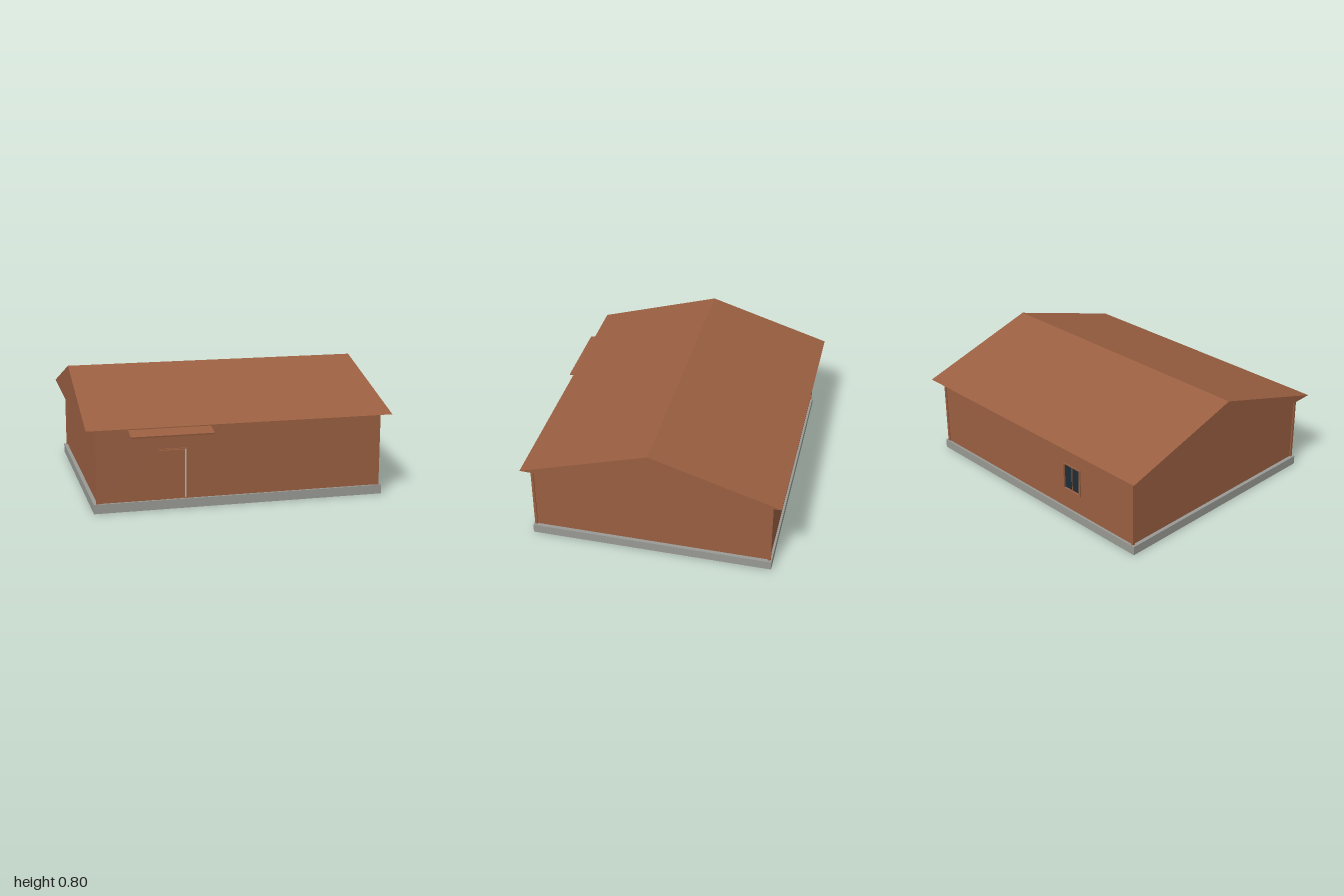
import * as THREE from 'three';

export function createModel() {
  const group = new THREE.Group();
  group.name = 'house';
  const mat = (name, color) => {
    const m = new THREE.MeshStandardMaterial({ color });
    m.name = name;
    return m;
  };
  const brown = mat('brownTimber', 0x9a5f41);
  const grey = mat('concrete', 0x999994);
  const glass = mat('darkGlass', 0x1f2d35);

  const add = (name, geometry, material) => {
    const mesh = new THREE.Mesh(geometry, material);
    mesh.name = name;
    group.add(mesh);
    return mesh;
  };
  // box given by its limits on each axis
  const box = (name, material, x0, x1, y0, y1, z0, z1) => {
    const g = new THREE.BoxGeometry(x1 - x0, y1 - y0, z1 - z0);
    g.translate((x0 + x1) / 2, (y0 + y1) / 2, (z0 + z1) / 2);
    return add(name, g, material);
  };
  const rect = (P, x0, x1, y0, y1) => {
    const p = new P();
    p.moveTo(x0, y0).lineTo(x1, y0).lineTo(x1, y1).lineTo(x0, y1).closePath();
    return p;
  };
  // long wall with one rectangular opening
  const wall = (name, hole, z) => {
    const s = rect(THREE.Shape, -0.93, 0.93, 0.06, 0.54);
    s.holes.push(rect(THREE.Path, ...hole));
    const g = new THREE.ExtrudeGeometry(s, { depth: 0.02, bevelEnabled: false });
    add(name, g.translate(0, 0, z), brown);
  };

  // foundation slab
  box('foundation', grey, -0.955, 0.955, 0, 0.06, -0.82, 0.78);

  // walls
  wall('frontWall', [-0.53, -0.355, 0.061, 0.385], 0.745);
  wall('backWall', [-0.455, -0.305, 0.205, 0.385], -0.805);
  for (const s of [-1, 1]) {
    const [x0, x1] = s > 0 ? [0.91, 0.93] : [-0.93, -0.91];
    box(s > 0 ? 'leftWall' : 'rightWall', brown, x0, x1, 0.06, 0.54, -0.785, 0.745);
    // corner posts stand slightly proud of the walls
    const [p0, p1] = s > 0 ? [0.92, 0.938] : [-0.938, -0.92];
    box('frontCornerPost', brown, p0, p1, 0.06, 0.54, 0.755, 0.772);
    box('backCornerPost', brown, p0, p1, 0.06, 0.54, -0.812, -0.795);
  }

  // gabled roof with a slightly sagging underside
  const profile = new THREE.Shape([
    [0.82, 0.543], [-0.025, 0.8], [-0.87, 0.543], [-0.8, 0.54],
    [-0.15, 0.522], [0.1, 0.522], [0.75, 0.54],
  ].map(([z, y]) => new THREE.Vector2(z, y)));
  const roof = new THREE.ExtrudeGeometry(profile, { depth: 2, bevelEnabled: false });
  add('roof', roof.rotateY(-Math.PI / 2).translate(1, 0, 0), brown);

  // door and its frame
  box('door', brown, -0.53, -0.368, 0.06, 0.378, 0.748, 0.76);
  box('doorJamb', brown, -0.54, -0.53, 0.06, 0.39, 0.745, 0.774);
  box('doorJamb', brown, -0.355, -0.349, 0.06, 0.39, 0.745, 0.774);
  box('doorHead', brown, -0.53, -0.355, 0.385, 0.391, 0.745, 0.774);

  // sloping canopy over the door
  const canopy = box('doorCanopy', brown, -0.265, 0.265, -0.005, 0.005, -0.06, 0.055);
  canopy.position.set(-0.465, 0.508, 0.815);
  canopy.rotation.x = 0.2;

  // back window
  box('windowGlass', glass, -0.448, -0.312, 0.21, 0.378, -0.802, -0.796);
  box('windowMullion', brown, -0.382, -0.378, 0.205, 0.38, -0.806, -0.794);
  for (const [x0, x1] of [[-0.462, -0.45], [-0.31, -0.298]])
    box('windowJamb', brown, x0, x1, 0.198, 0.39, -0.813, -0.785);
  box('windowSill', brown, -0.45, -0.31, 0.198, 0.206, -0.813, -0.785);
  box('windowHead', brown, -0.45, -0.31, 0.384, 0.39, -0.813, -0.785);

  return group;
}
